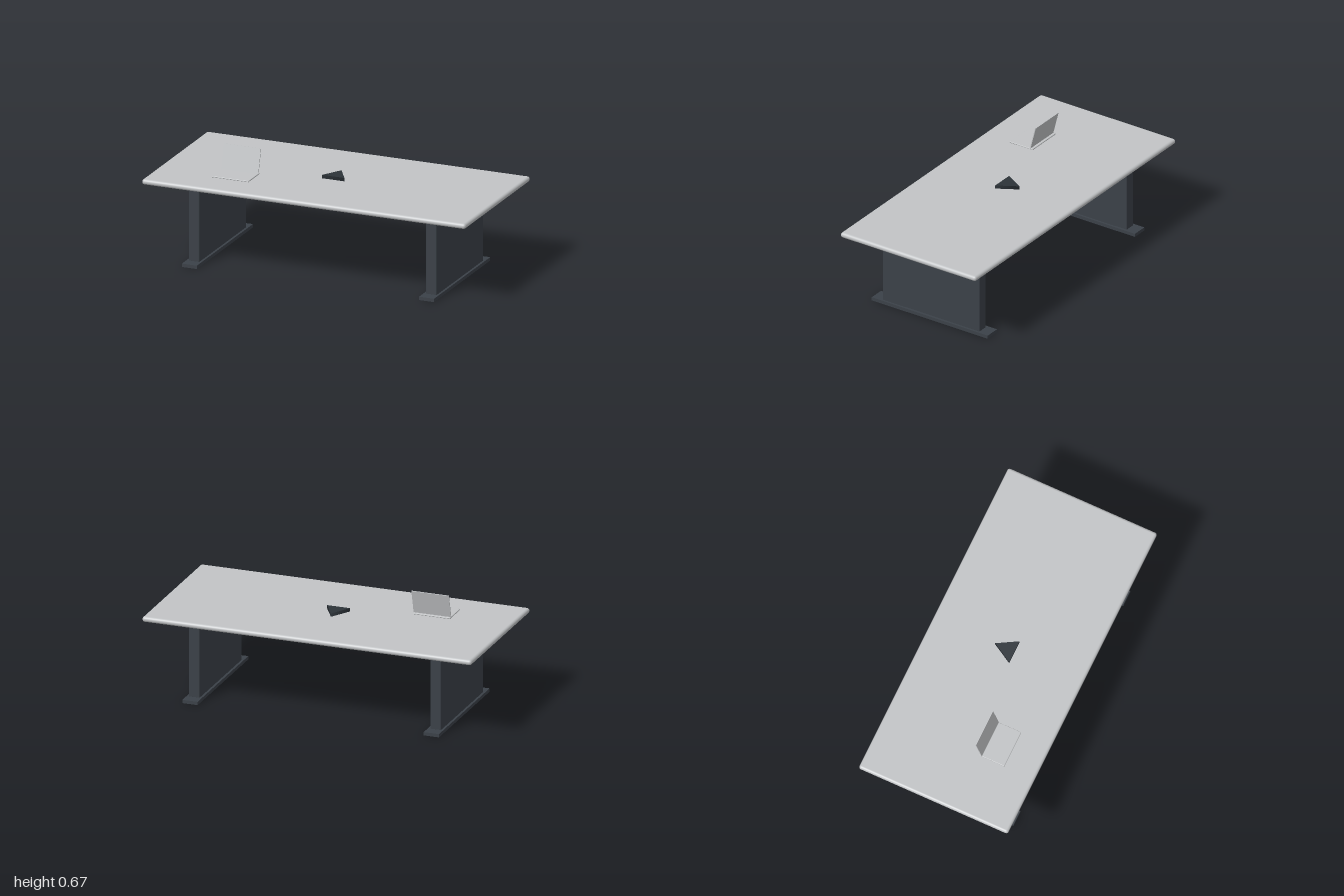
import * as THREE from 'three';
import { RoundedBoxGeometry } from 'three/addons/geometries/RoundedBoxGeometry.js';

export function createModel() {
  const mat = (name, color) => {
    const m = new THREE.MeshStandardMaterial({ color });
    m.name = name;
    return m;
  };
  const lightGrey = mat('lightGrey', 0xc2c4c6);
  const charcoal = mat('charcoal', 0x3b4148);
  const darkGrey = mat('darkGrey', 0x2d3339);

  const add = (parent, name, geometry, material, x = 0, y = 0, z = 0) => {
    const mesh = new THREE.Mesh(geometry, material);
    mesh.name = name;
    mesh.position.set(x, y, z);
    parent.add(mesh);
    return mesh;
  };

  const table = new THREE.Group();
  table.name = 'conferenceTable';

  // Slab with rounded rim
  add(table, 'tableTop', new RoundedBoxGeometry(2, 0.032, 0.934, 4, 0.0155), lightGrey, 0, 0.499, 0);

  // Panel legs on flat feet, one at each end
  for (const [side, name] of [[1, 'left'], [-1, 'right']]) {
    const leg = new THREE.Group();
    leg.name = name + 'Leg';
    leg.position.x = side * 0.733;
    add(leg, 'panel', new RoundedBoxGeometry(0.066, 0.46, 0.667, 3, 0.006), charcoal, 0, 0.245, 0);
    add(leg, 'foot', new THREE.BoxGeometry(0.093, 0.02, 0.8), charcoal, 0, 0.01, 0);
    table.add(leg);
  }

  // Three-sided conference phone, point towards the back
  const phone = add(table, 'conferencePhone', new THREE.CylinderGeometry(0.08, 0.08, 0.02, 3), darkGrey, 0, 0.525, 0);
  phone.rotation.y = Math.PI;

  // Open laptop, screen leaning back from its hinge
  const laptop = new THREE.Group();
  laptop.name = 'laptop';
  laptop.position.set(-0.533, 0.5165, 0);
  add(laptop, 'keyboardBase', new RoundedBoxGeometry(0.227, 0.008, 0.16, 2, 0.003), lightGrey, 0, 0.0045, 0.2);
  const hinge = new THREE.Group();
  hinge.name = 'screenHinge';
  hinge.position.set(0, 0.006, 0.138);
  hinge.rotation.x = -0.25;
  add(hinge, 'screen', new THREE.BoxGeometry(0.227, 0.147, 0.005), lightGrey, 0, 0.0735, 0);
  laptop.add(hinge);
  table.add(laptop);

  return table;
}
